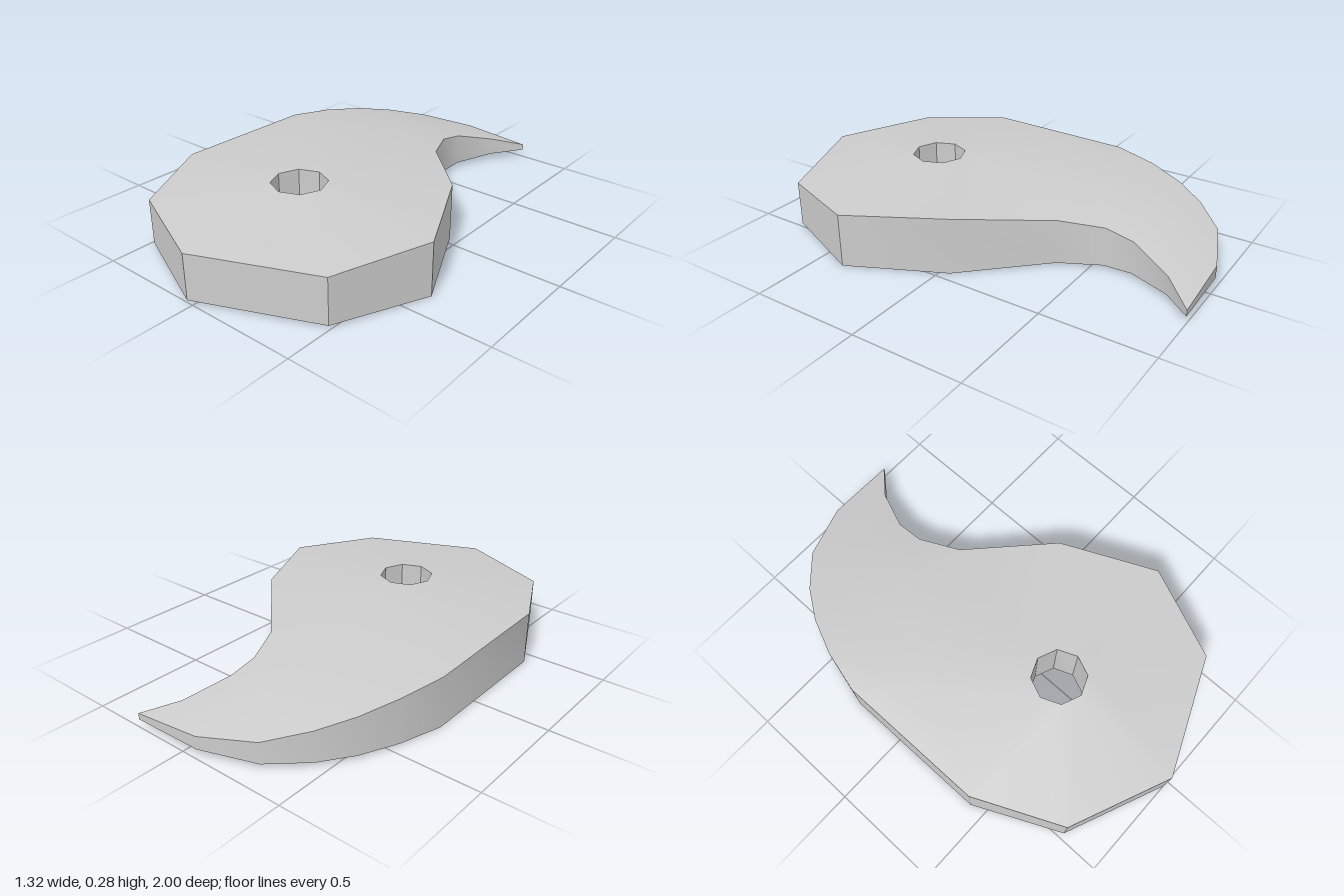
import * as THREE from 'three';
import { toCreasedNormals } from 'three/addons/utils/BufferGeometryUtils.js';

const CENTRE = [-0.03, 0.375], HOLE_R = 0.122, TOP = 0.275;

// Outline of the comma shape: x, z, top height, bottom height
const OUTLINE = [
  [0.655, 0.375, 0.24, 0], [0.49, 0.78, 0.215, 0.01], [-0.03, 1, 0.215, 0.01],
  [-0.475, 0.81, 0.215, 0.01], [-0.655, 0.43, 0.24, 0], [-0.66, -0.25, 0.228, 0],
  [-0.61, -0.45, 0.21, 0.008], [-0.54, -0.62, 0.185, 0.014], [-0.45, -0.76, 0.158, 0.02],
  [-0.31, -0.9, 0.122, 0.027], [-0.07, -0.99, 0.092, 0.034], [0.255, -1, 0.065, 0.037],
  [0.14, -0.87, 0.108, 0.025], [0.06, -0.68, 0.165, 0.017], [0.06, -0.55, 0.19, 0.012],
  [0.14, -0.37, 0.207, 0.005], [0.455, -0.04, 0.255, 0],
];

export function createModel() {
  const n = OUTLINE.length;
  const top = OUTLINE.map(([x, z, t]) => new THREE.Vector3(x, t, z));
  const bottom = OUTLINE.map(([x, z, , b]) => new THREE.Vector3(x, b, z));
  const ring = (y) => Array.from({ length: 8 }, (_, i) => {
    const a = (i * Math.PI) / 4;
    return new THREE.Vector3(CENTRE[0] + HOLE_R * Math.cos(a), y, CENTRE[1] + HOLE_R * Math.sin(a));
  });
  const holeTop = ring(TOP), holeBottom = ring(0);

  const points = [];
  const tri = (a, b, c) => points.push(a, b, c);
  const quad = (a, b, c, d) => { tri(a, b, c); tri(a, c, d); };
  // Triangle turned to face up (sign 1) or down (sign -1)
  const facing = (sign, a, b, c) => {
    const ny = (b.z - a.z) * (c.x - a.x) - (b.x - a.x) * (c.z - a.z);
    if (ny * sign > 0) tri(a, b, c); else tri(a, c, b);
  };

  // Inner points of the top: two on the head, two along the tail's ridge
  const A = new THREE.Vector3(-0.44, TOP, -0.04), B = new THREE.Vector3(-0.03, TOP, 0.17);
  const C = new THREE.Vector3(-0.14, 0.24, -0.43), D = new THREE.Vector3(-0.13, 0.185, -0.7);

  // Head facets around the hole
  const head = [...top.slice(0, 5), A, B, top[16]];
  for (let i = 0; i < 8; i++) {
    const j = (i + 1) % 8;
    facing(1, holeTop[i], head[i], head[j]);
    facing(1, holeTop[i], head[j], holeTop[j]);
  }

  // Tail facets, fanned from the inner points
  const fan = (p, chain) => {
    for (let i = 0; i + 1 < chain.length; i++) facing(1, p, chain[i], chain[i + 1]);
  };
  fan(A, [top[4], top[5], top[6], C, B]);
  fan(C, [top[6], top[7], D, top[14], top[15], B]);
  fan(B, [top[15], top[16]]);
  fan(D, top.slice(7, 15));

  // Flat underside with the hole cut out
  const flat = (list) => list.map((p) => new THREE.Vector2(p.x, p.z));
  const all = [...bottom, ...holeBottom];
  for (const [a, b, c] of THREE.ShapeUtils.triangulateShape(flat(bottom), [flat(holeBottom).reverse()])) {
    // Hole vertices are listed in reverse order
    const at = (i) => (i < n ? all[i] : holeBottom[7 - (i - n)]);
    facing(-1, at(a), at(b), at(c));
  }

  // Outer wall and hole wall
  for (let i = 0; i < n; i++) {
    const j = (i + 1) % n;
    quad(bottom[i], top[i], top[j], bottom[j]);
  }
  for (let i = 0; i < 8; i++) {
    const j = (i + 1) % 8;
    quad(holeBottom[j], holeTop[j], holeTop[i], holeBottom[i]);
  }

  const geometry = toCreasedNormals(new THREE.BufferGeometry().setFromPoints(points), 0.55);
  const bead = new THREE.Mesh(geometry, new THREE.MeshStandardMaterial({ color: 0xcccccc }));
  bead.name = 'commaBead';
  const group = new THREE.Group();
  group.name = 'curvedBead';
  group.add(bead);
  return group;
}
